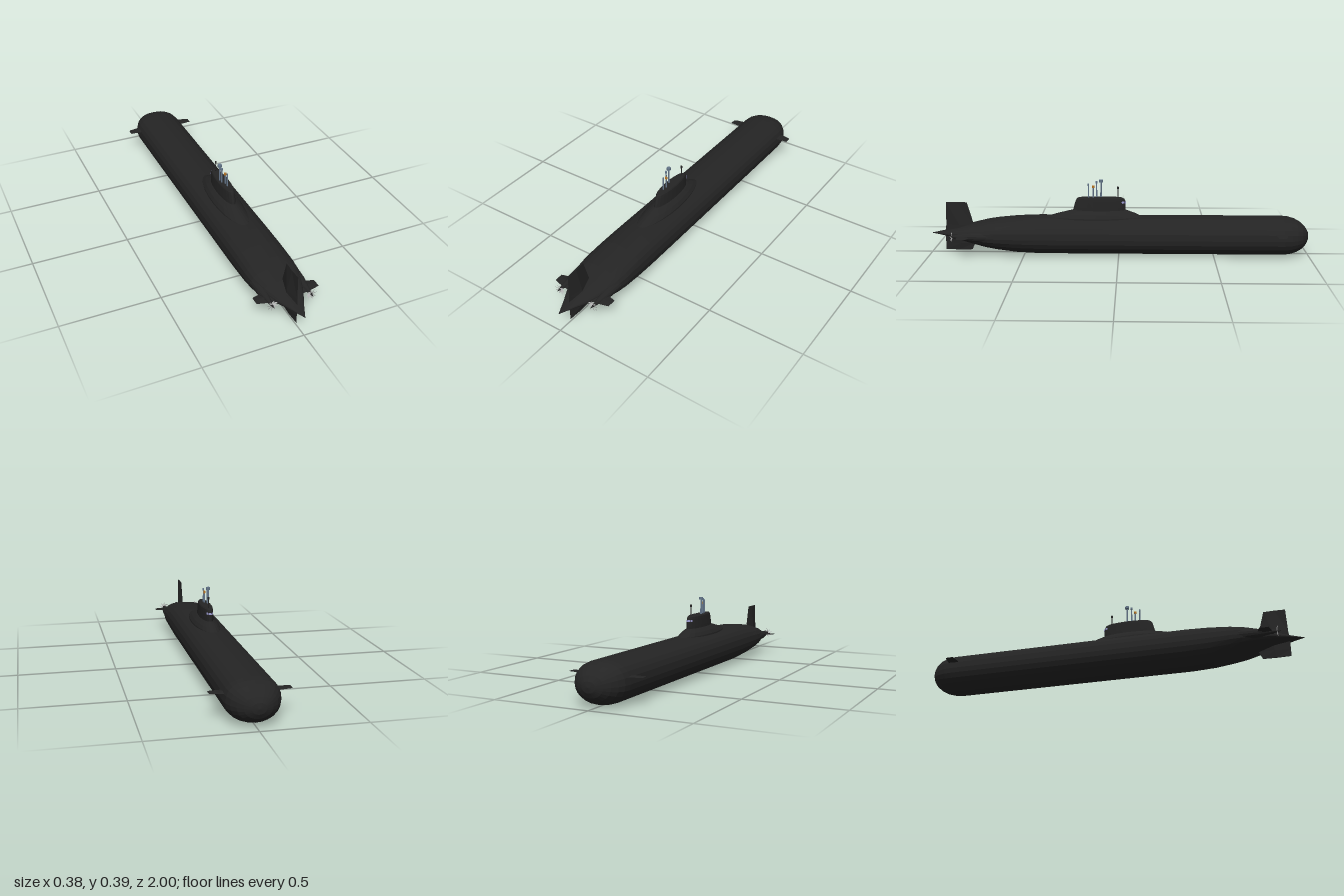
import * as THREE from 'three';

const mat = (color) => new THREE.MeshStandardMaterial({ color, flatShading: true, side: THREE.DoubleSide });
const black = mat(0x242424), steel = mat(0x64768a), silver = mat(0xb8b8b8), orange = mat(0xc07820), glass = mat(0x9a9ad0);
const SIDES = 24;

function add(parent, name, geometry, material, x = 0, y = 0, z = 0) {
  const mesh = new THREE.Mesh(geometry, material);
  mesh.name = name;
  mesh.position.set(x, y, z);
  parent.add(mesh);
  return mesh;
}

// Skin between successive closed rings of [x, y, z] points
function loft(rings) {
  const n = rings[0].length, index = [];
  for (let i = 0; i < rings.length - 1; i++) {
    for (let j = 0; j < n; j++) {
      const k = (j + 1) % n, a = i * n + j, b = i * n + k, c = a + n, d = b + n;
      index.push(a, b, c, b, d, c);
    }
  }
  const g = new THREE.BufferGeometry();
  g.setAttribute('position', new THREE.Float32BufferAttribute(rings.flat(2), 3));
  g.setIndex(index);
  g.computeVertexNormals();
  return g;
}

const around = (f) => Array.from({ length: SIDES }, (_, i) => {
  const t = (i / SIDES) * Math.PI * 2;
  return f(Math.cos(t), Math.sin(t));
});
const fuller = (v) => Math.sign(v) * Math.abs(v) ** 0.82;

// Hull section: elliptical keel, fuller shoulders above
const hullRing = ([z, w, h, y]) => around((c, s) => s > 0
  ? [w * fuller(c), y + h * fuller(s), z]
  : [w * c, y + h * s, z]);

// Horizontal ellipse spanning z0..z1 for the sail and its fairing
const deckRing = ([y, w, z0, z1]) => around((c, s) => [w * c, y, (z0 + z1) / 2 - ((z1 - z0) / 2) * s]);

// Diamond-section fin growing along +y; each row is [y, z0, z1, half thickness]
const fin = (rows) => {
  const [y, z0, z1] = rows[rows.length - 1];
  return loft([...rows, [y, (z0 + z1) / 2, (z0 + z1) / 2, 0]].map(([h, a, b, t]) => {
    const m = (a + b) / 2;
    return [[t, h, m], [0, h, a], [-t, h, m], [0, h, b]];
  }));
};

function makePropeller() {
  const prop = new THREE.Group();
  prop.name = 'propeller';
  const shape = new THREE.Shape();
  shape.moveTo(0.003, -0.002);
  shape.quadraticCurveTo(0.02, -0.008, 0.028, 0.011);
  shape.quadraticCurveTo(0.018, 0.003, 0.004, 0.004);
  const geometry = new THREE.ShapeGeometry(shape, 6);
  for (let i = 0; i < 8; i++) {
    const arm = new THREE.Group();
    arm.rotation.z = (i / 8) * Math.PI * 2;
    add(arm, 'propellerBlade', geometry, silver).rotation.x = 0.45;
    prop.add(arm);
  }
  return prop;
}

// Parts repeated on both sides, built for +x
function makeSide(name, sign) {
  const side = new THREE.Group();
  side.name = name;
  const podProfile = [[0, -0.24], [0.016, -0.2], [0.028, -0.1], [0.024, -0.03], [0.012, 0.04], [0.007, 0.07], [0, 0.1]];
  const pod = new THREE.LatheGeometry(podProfile.map(([r, z]) => new THREE.Vector2(r, z)), 14);
  add(side, 'shaftPod', pod.rotateX(Math.PI / 2), black, 0.1, 0.11, 0.795);
  const prop = makePropeller();
  prop.position.set(0.1, 0.11, 0.872);
  side.add(prop);
  const bow = fin([[0.08, -0.88, -0.81, 0.004], [0.18, -0.862, -0.818, 0.002], [0.189, -0.855, -0.818, 0.001]]);
  add(side, 'bowPlane', bow, black, 0, 0.135, 0).rotation.z = -Math.PI / 2;
  const stern = fin([[0.03, 0.74, 0.86, 0.01], [0.125, 0.78, 0.845, 0.004], [0.16, 0.79, 0.835, 0.001]]);
  add(side, 'sternPlane', stern, black, 0, 0.11, 0).rotation.z = -Math.PI / 2;
  side.scale.x = sign;
  return side;
}

export function createModel() {
  const model = new THREE.Group();
  model.name = 'submarine';

  // Hull: rounded bow, long straight body, flattened pointed stern
  const stations = [];
  for (let i = 0; i <= 6; i++) {
    const a = (i / 6) * Math.PI / 2;
    stations.push([-0.86 - 0.14 * Math.cos(a), 0.13 * Math.sin(a), 0.1 * Math.sin(a), 0.101]);
  }
  stations.push([-0.4, 0.13, 0.1, 0.101], [0.1, 0.13, 0.1, 0.101], [0.42, 0.13, 0.1, 0.101],
    [0.54, 0.13, 0.094, 0.102], [0.64, 0.13, 0.081, 0.104], [0.7, 0.126, 0.07, 0.105],
    [0.78, 0.104, 0.05, 0.106], [0.86, 0.068, 0.027, 0.106], [0.92, 0.037, 0.013, 0.106], [1, 0, 0, 0.105]);
  add(model, 'hull', loft(stations.map(hullRing)), black);

  // Fairing and sail
  add(model, 'sailFairing', loft([
    [0.17, 0.07, -0.14, 0.4], [0.2, 0.067, -0.125, 0.38], [0.217, 0.056, -0.09, 0.32],
    [0.232, 0.039, -0.05, 0.26], [0.237, 0.03, -0.035, 0.24], [0.237, 0, 0.1, 0.1],
  ].map(deckRing)), black);
  add(model, 'sail', loft([
    [0.22, 0.034, -0.036, 0.244], [0.25, 0.033, -0.036, 0.238], [0.285, 0.031, -0.034, 0.228],
    [0.297, 0.03, -0.028, 0.222], [0.302, 0.027, -0.018, 0.215], [0.302, 0, 0.1, 0.1],
  ].map(deckRing)), black);

  // Bridge windows wrapped round the front of the sail
  for (let i = -2; i <= 2; i++) {
    const pane = new THREE.CylinderGeometry(1.02, 1.03, 0.011, 3, 1, true, Math.PI + i * 0.24 - 0.1, 0.2);
    add(model, 'bridgeWindow', pane, glass, 0, 0.278, 0.098).scale.set(0.0315, 1, 0.132);
  }

  // Masts: [x, z, radius, top, head radius, head height]
  const masts = [
    [-0.003, 0.16, 0.004, 0.375, 0.004, 0.012], [-0.003, 0.135, 0.004, 0.365, 0.006, 0.012],
    [-0.015, 0.118, 0.004, 0.385, 0.006, 0.01], [-0.015, 0.094, 0.005, 0.394, 0.011, 0.013],
    [0.002, 0.005, 0.003, 0.36, 0.005, 0.012],
  ];
  masts.forEach(([x, z, r, top, headR, headH], i) => {
    add(model, 'mast', new THREE.CylinderGeometry(r * 0.8, r, top - 0.29, 8), i === 4 ? black : steel, x, (top + 0.29) / 2, z);
    add(model, 'mastHead', new THREE.CylinderGeometry(headR, headR, headH, 8), i === 1 ? orange : i === 4 ? black : steel, x, top - headH / 2, z);
  });

  // Rudders
  add(model, 'upperRudder', fin([[0.1, 0.76, 0.925, 0.018], [0.15, 0.772, 0.92, 0.015], [0.272, 0.805, 0.915, 0.003]]), black);
  add(model, 'lowerRudder', fin([[-0.11, 0.75, 0.925, 0.014], [-0.05, 0.768, 0.925, 0.009], [-0.013, 0.785, 0.925, 0.003]]), black)
    .rotation.z = Math.PI;
  model.getObjectByName('lowerRudder').position.y = 0;
  model.getObjectByName('lowerRudder').rotation.z = 0;
  model.getObjectByName('lowerRudder').scale.y = -1;

  model.add(makeSide('leftSide', 1), makeSide('rightSide', -1));
  return model;
}
